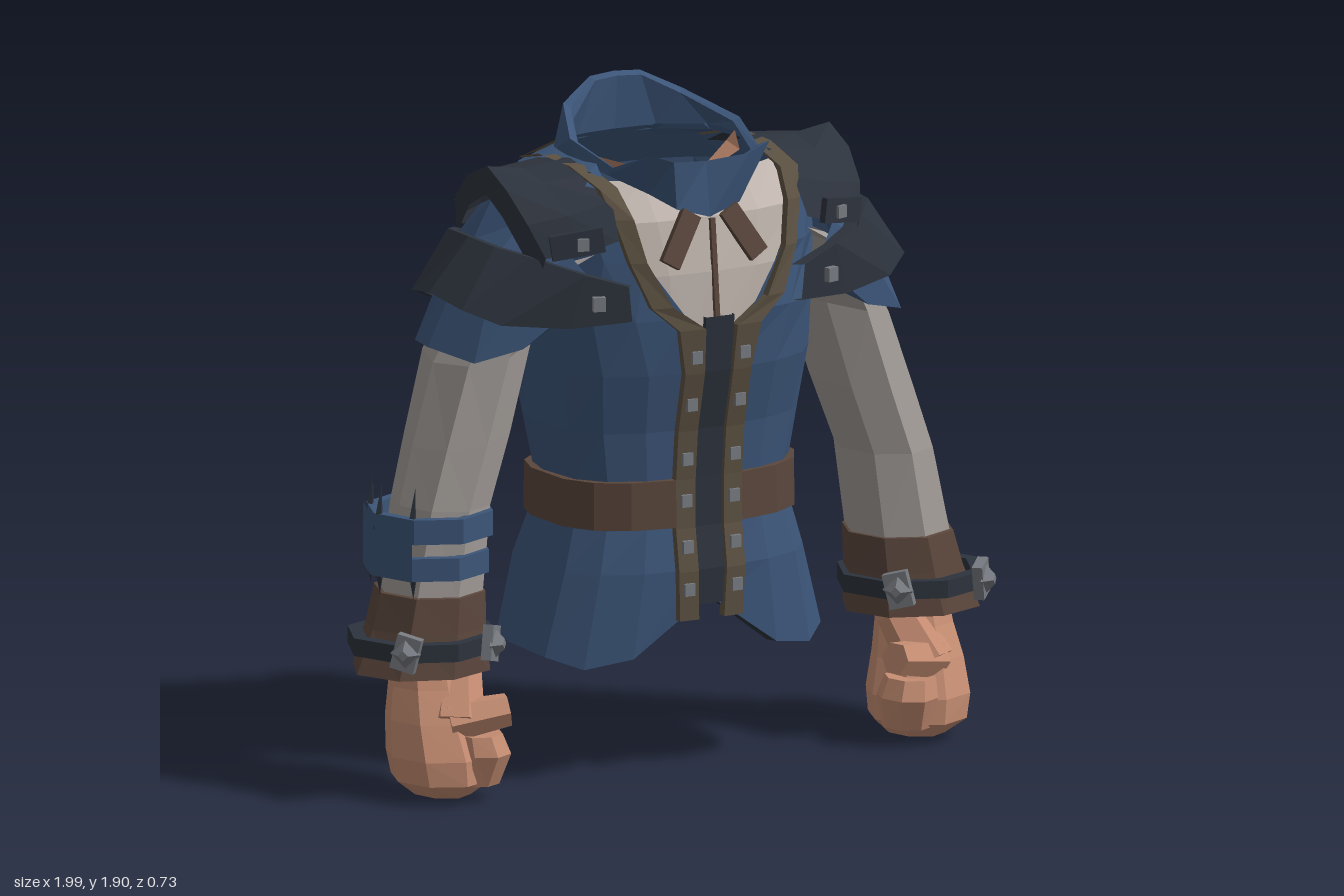
import * as THREE from 'three';

const BLUE = 0x3c5578, DARK = 0x2d333d, LEATHER = 0x5a463c, TRIM = 0x5c5142,
  LINEN = 0xa09a96, SHIRT = 0xbfb4ad, SKIN = 0xc58d72, STEEL = 0x767a80;

const mats = {};
const mat = (c) => mats[c] ??= new THREE.MeshStandardMaterial({ color: c, flatShading: true, side: THREE.DoubleSide });
function add(parent, name, geo, color, pos = [0, 0, 0], rot = [0, 0, 0]) {
  const m = new THREE.Mesh(geo, mat(color));
  m.name = name;
  m.position.set(...pos);
  m.rotation.set(...rot);
  parent.add(m);
}
const box = (w, h, d) => new THREE.BoxGeometry(w, h, d);

// Surface through rows of points
function loft(rows, closed = false) {
  const n = rows[0].length, idx = [];
  for (let r = 0; r < rows.length - 1; r++)
    for (let i = 0; i < (closed ? n : n - 1); i++) {
      const j = (i + 1) % n, a = r * n + i, b = r * n + j;
      idx.push(a, b, b + n, a, b + n, a + n);
    }
  const g = new THREE.BufferGeometry();
  g.setAttribute('position', new THREE.Float32BufferAttribute(rows.flat(2), 3));
  g.setIndex(idx);
  const flat = g.toNonIndexed();
  flat.computeVertexNormals();
  return flat;
}
// Eight-sided ring; k slopes it along x
const ring = (cx, y, cz, rx, rz, k = 0) => Array.from({ length: 8 }, (_, i) => {
  const a = i / 8 * Math.PI * 2, c = Math.cos(a);
  return [cx + rx * c, y + k * rx * c, cz + rz * Math.sin(a)];
});
const rings = (list) => loft(list.map((r) => ring(...r)), true);
// Closed strap with thickness t
const strap = (cx, y0, y1, cz, rx, rz, t) => rings([
  [cx, y0, cz, rx - t, rz - t], [cx, y0, cz, rx, rz], [cx, y1, cz, rx, rz], [cx, y1, cz, rx - t, rz - t]]);
const mirrorX = (half) => [...half.slice().reverse().map(([x, y, z]) => [-x, y, z]), ...half];
// Front half of an arch, continued over to the back
const arch = (half) => [...half, ...half.slice(0, -1).reverse().map(([x, y, z]) => [x, y, -z * 1.02])];

// Body sections: height, half width, front depth, back depth, half opening
const BODY = [
  [0.40, 0.465, 0.28, 0.275, 0.03], [0.60, 0.40, 0.29, 0.305, 0.03], [0.72, 0.365, 0.272, 0.25, 0.03],
  [0.86, 0.36, 0.272, 0.22, 0.03], [1.00, 0.385, 0.285, 0.25, 0.03], [1.17, 0.41, 0.325, 0.30, 0.03],
  [1.33, 0.42, 0.345, 0.345, 0.10], [1.50, 0.42, 0.335, 0.365, 0.22], [1.62, 0.42, 0.31, 0.34, 0.26],
  [1.70, 0.40, 0.24, 0.28, 0.28], [1.74, 0.27, 0.17, 0.25, 0.25]];
const HEM = [0.5, 0.36, 0.335, 0.365, 0.38, 0.38, 0.39, 0.4, 0.4];

function section([y, w, f, b, x0], grow = 0, ys) {
  const a0 = Math.asin(Math.pow(x0 / w, 1.25)), half = [];
  for (let i = 0; i <= 8; i++) {
    const a = a0 + (Math.PI - a0) * i / 8, c = Math.cos(a);
    const x = i === 8 ? 0 : (w + grow) * Math.pow(Math.sin(a), 0.8);
    const z = c > 0 ? (f + grow) * Math.pow(c, 0.7) : -(b + grow) * Math.pow(-c, 0.7);
    half.push([x, ys ? ys[i] : y, z]);
  }
  return [...half, ...half.slice(0, -1).reverse().map(([x, yy, z]) => [-x, yy, z])];
}
function frontZ(x, y) {
  let i = 0;
  while (i < BODY.length - 2 && BODY[i + 1][0] < y) i++;
  const t = (y - BODY[i][0]) / (BODY[i + 1][0] - BODY[i][0]);
  const w = THREE.MathUtils.lerp(BODY[i][1], BODY[i + 1][1], t), f = THREE.MathUtils.lerp(BODY[i][2], BODY[i + 1][2], t);
  return f * Math.pow(Math.max(0, 1 - Math.pow(Math.min(1, Math.abs(x) / w), 2.5)), 0.35);
}
// Raised strip on the jacket front: [inner x, outer x, y, optional z]
const strip = (rows, h) => loft(rows.map(([a, b, y, z]) => {
  const za = z ?? frontZ(a, y), zb = z ?? frontZ(b, y);
  return [[a, y, za - 0.01], [a, y, za + h], [b, y, zb + h], [b, y, zb - 0.01]];
}));

function buildTorso(g) {
  // Jacket shell and hem
  const hem = section(BODY[0], 0, HEM);
  add(g, 'jacket', loft([hem, ...BODY.slice(1).map((s) => section(s))]), BLUE);
  add(g, 'hemEdge', loft([hem, section(BODY[0], -0.03, HEM), section(BODY[0], -0.03, HEM.map((y) => y + 0.015))]), DARK);
  add(g, 'backSeam', loft(BODY.slice(5, 10).map(([y, , , b]) => [[-0.005, y, -b - 0.004], [0.005, y, -b - 0.004]])), DARK);
  add(g, 'backTrim', loft([9, 10].map((i) => section(BODY[i], 0.014).slice(5, 12))), TRIM);
  // Shirt, placket and collar ties
  add(g, 'shirt', loft([[1.28, 0.13, 0.325, 0.31], [1.45, 0.25, 0.315, 0.28], [1.6, 0.29, 0.285, 0.24], [1.7, 0.29, 0.2, 0.12]]
    .map(([y, x, z, ze]) => mirrorX([[0, y, z], [x * 0.55, y, z - 0.01], [x, y, ze]]))), SHIRT);
  add(g, 'shirtPlacket', box(0.015, 0.3, 0.012), LEATHER, [0, 1.45, 0.317], [-0.1, 0, 0]);
  for (const s of [-1, 1])
    add(g, 'collarTie', box(0.06, 0.16, 0.02), LEATHER, [s * 0.1, 1.55, 0.3], [-0.2, 0, s * 0.55]);
  // Centre panel
  add(g, 'centrePanel', strip([1.33, 1.17, 1, 0.86, 0.72, 0.6, 0.5].map((y) => [-0.045, 0.045, y]), 0.005), DARK);
  // Collar and neck
  const top = [[0, 1.755, 0.27], [0.12, 1.77, 0.3], [0.19, 1.795, 0.29], [0.235, 1.74, 0.16], [0.27, 1.79, -0.02], [0.19, 1.845, -0.2], [0.08, 1.9, -0.245], [0, 1.905, -0.25]];
  const low = [[0, 1.6, 0.29], [0.1, 1.63, 0.28], [0.16, 1.67, 0.23], [0.24, 1.715, 0.14], [0.265, 1.735, 0], [0.25, 1.73, -0.15], [0.13, 1.725, -0.25], [0, 1.725, -0.265]];
  const inner = top.map(([x, y, z]) => [x * 0.92, y - 0.01, z * 0.92]);
  const innerLow = low.map(([x, y, z]) => [x * 0.94, y + 0.02, z * 0.92]);
  add(g, 'collar', loft([mirrorX(low), mirrorX(top), mirrorX(inner), mirrorX(innerLow)]), BLUE);
  add(g, 'neck', loft([mirrorX([[0, 1.68, 0.19], [0.18, 1.74, 0.14], [0.255, 1.755, -0.02]]),
    mirrorX([[0, 1.6, 0.1], [0.12, 1.67, 0.03], [0.245, 1.72, -0.05]])]), SKIN);
  // Belt
  const belt = (y, grow) => section([y, 0.362, 0.273, 0.238, 0.1], grow);
  add(g, 'belt', loft([belt(0.725, -0.01), belt(0.725, 0.018), belt(0.86, 0.016), belt(0.86, -0.01)]), LEATHER);
  // Belt pouches
  for (const [x, z, a] of [[0.3, -0.175, 2.1], [0.155, -0.25, 2.6]]) {
    const p = new THREE.Group();
    p.name = 'pouch';
    p.position.set(x, 0.785, z);
    p.rotation.y = a;
    const outline = new THREE.Shape([[-0.07, -0.13], [0.04, -0.13], [0.065, -0.09], [0.06, 0.09], [0.03, 0.125], [-0.07, 0.125]]
      .map((c) => new THREE.Vector2(...c)));
    add(p, 'pouchBody', new THREE.ExtrudeGeometry(outline, { depth: 0.18, bevelEnabled: false }), LEATHER, [0.09, 0, 0], [0, -Math.PI / 2, 0]);
    add(p, 'pouchFlap', box(0.15, 0.11, 0.02), DARK, [0, 0.055, 0.063]);
    add(p, 'pouchLid', box(0.15, 0.02, 0.07), DARK, [0, 0.122, 0.015], [0.35, 0, 0]);
    add(p, 'pouchStud', box(0.035, 0.035, 0.02), STEEL, [0, 0.025, 0.072]);
    g.add(p);
  }
}

function buildSide() {
  const g = new THREE.Group();
  // Front trim and buttons
  add(g, 'frontTrim', strip([[0.04, 0.1, 0.46], [0.045, 0.105, 0.6], [0.045, 0.105, 0.72], [0.045, 0.105, 0.86], [0.045, 0.105, 1],
    [0.045, 0.105, 1.17], [0.05, 0.13, 1.3], [0.15, 0.21, 1.37], [0.22, 0.265, 1.5], [0.245, 0.295, 1.62],
    [0.26, 0.315, 1.7, 0.21], [0.265, 0.32, 1.735, 0.05], [0.265, 0.32, 1.735, -0.1], [0.26, 0.31, 1.7, -0.23]], 0.018), TRIM);
  for (const y of [0.55, 0.67, 0.8, 0.92, 1.08, 1.22])
    add(g, 'button', box(0.032, 0.035, 0.016), STEEL, [0.076, y, frontZ(0.076, y) + 0.02]);

  // Sleeve
  add(g, 'sleeve', rings([[0.34, 1.52, 0, 0.13, 0.24, -0.4], [0.46, 1.45, 0, 0.135, 0.2, -0.4], [0.57, 1.24, -0.015, 0.14, 0.185, -0.25],
    [0.645, 1, 0.005, 0.142, 0.172, -0.15], [0.705, 0.82, 0.02, 0.132, 0.162], [0.745, 0.57, 0.03, 0.147, 0.16]]), LINEN);
  // Shoulder
  add(g, 'upperSleeve', loft([arch([[0.34, 1.42, 0.29], [0.42, 1.53, 0.24], [0.5, 1.61, 0.12], [0.53, 1.655, 0]]),
    arch([[0.45, 1.35, 0.24], [0.53, 1.45, 0.21], [0.575, 1.53, 0.12], [0.59, 1.545, 0]]),
    arch([[0.44, 1.33, 0.21], [0.55, 1.27, 0.21], [0.68, 1.235, 0.165], [0.735, 1.255, 0]]),
    arch([[0.44, 1.34, 0.19], [0.55, 1.28, 0.19], [0.66, 1.25, 0.14], [0.71, 1.265, 0]])]), BLUE);
  const capIn = [[0.3, 1.57, 0.31], [0.29, 1.67, 0.25], [0.28, 1.725, 0.12], [0.28, 1.74, 0]];
  const capMid = [[0.4, 1.54, 0.29], [0.42, 1.64, 0.235], [0.43, 1.71, 0.12], [0.43, 1.73, 0]];
  const capOut = [[0.5, 1.53, 0.25], [0.53, 1.62, 0.2], [0.545, 1.7, 0.11], [0.545, 1.748, 0]];
  add(g, 'shoulderCap', loft([arch(capIn), arch(capMid), arch(capOut),
    arch(capOut.map(([x, y, z]) => [x + 0.003, y - 0.08, z * 0.85]))]), DARK);
  const hi = [[0.28, 1.44, 0.33], [0.4, 1.48, 0.3], [0.53, 1.53, 0.21], [0.595, 1.55, 0.13], [0.605, 1.555, 0]];
  const lo = [[0.27, 1.34, 0.33], [0.44, 1.33, 0.285], [0.62, 1.345, 0.21], [0.705, 1.385, 0.14], [0.73, 1.41, 0]];
  const inset = (pts) => arch(pts.map(([x, y, z]) => [x - 0.025, y - 0.005, z * 0.9]));
  add(g, 'shoulderBand', loft([inset(hi), arch(hi), arch(lo), inset(lo)]), DARK);
  for (const s of [-1, 1]) {
    add(g, 'shoulderStrap', box(0.15, 0.07, 0.02), DARK, [0.42, 1.57, s * 0.285], [0, s * 0.35, -0.15]);
    add(g, 'shoulderStud', box(0.032, 0.035, 0.02), STEEL, [0.41, 1.57, s * 0.3], [0, s * 0.3, 0]);
    add(g, 'bandStud', box(0.035, 0.04, 0.02), STEEL, [0.37, 1.4, s * 0.32], [0, s * 0.3, 0]);
  }

  // Cuff with strap and pointed plates
  add(g, 'cuff', rings([[0.745, 0.585, 0.03, 0.13, 0.14], [0.745, 0.58, 0.03, 0.155, 0.17], [0.76, 0.48, 0.035, 0.17, 0.178],
    [0.78, 0.36, 0.045, 0.205, 0.185], [0.78, 0.37, 0.045, 0.1, 0.11]]), LEATHER);
  add(g, 'cuffStrap', strap(0.78, 0.415, 0.465, 0.045, 0.215, 0.208, 0.04), DARK);
  for (const [x, z, a] of [[0.915, 0.2, 0.8], [0.65, 0.205, -0.75]]) {
    const plate = new THREE.Group();
    plate.name = 'cuffPlate';
    plate.position.set(x, 0.445, z);
    plate.rotation.y = a;
    add(plate, 'plateBase', box(0.07, 0.1, 0.03), STEEL, [0, 0, 0], [0, 0, 0.25]);
    add(plate, 'platePoint', new THREE.CylinderGeometry(0.015, 0.045, 0.03, 4), STEEL, [0, 0, 0.025], [Math.PI / 2, 0, 0]);
    g.add(plate);
  }
  // Fist
  add(g, 'hand', rings([[0.775, 0.4, 0.06, 0.1, 0.1], [0.775, 0.32, 0.07, 0.11, 0.118], [0.775, 0.23, 0.09, 0.128, 0.14],
    [0.765, 0.13, 0.11, 0.145, 0.16], [0.76, 0.06, 0.115, 0.135, 0.155], [0.755, 0.015, 0.105, 0.08, 0.105], [0.755, 0.003, 0.1, 0, 0]]), SKIN);
  const finger = (r, len) => new THREE.CylinderGeometry(r * 0.8, r, len, 6);
  add(g, 'thumb', finger(0.06, 0.17), SKIN, [0.695, 0.245, 0.215], [0, 0.35, 1.4]);
  add(g, 'thumbBase', finger(0.08, 0.17), SKIN, [0.725, 0.29, 0.15], [-0.5, 0, 0.3]);
  add(g, 'fingers', rings([[0.69, 0.19, 0.2, 0, 0], [0.69, 0.195, 0.2, 0.07, 0.08], [0.68, 0.14, 0.2, 0.082, 0.1], [0.69, 0.05, 0.18, 0.07, 0.08], [0.69, 0.035, 0.17, 0, 0]]), SKIN);
  return g;
}

export function createModel() {
  const model = new THREE.Group();
  model.name = 'jacket';
  buildTorso(model);
  const left = buildSide(), right = left.clone();
  left.name = 'leftSide';
  right.name = 'rightSide';
  right.scale.x = -1;
  model.add(left, right);

  // Forearm wrap on the right arm only
  const wrap = new THREE.Group();
  wrap.name = 'forearmWrap';
  add(wrap, 'wrapUpper', strap(-0.745, 0.74, 0.81, 0.03, 0.178, 0.19, 0.03), BLUE);
  add(wrap, 'wrapLower', strap(-0.755, 0.635, 0.7, 0.03, 0.175, 0.185, 0.03), BLUE);
  add(wrap, 'wrapPanel', loft([0.635, 0.81].map((y) => ring(-0.75, y, 0.03, 0.183, 0.195).slice(3, 6))), BLUE);
  for (const [x, z] of [[-0.86, 0.14], [-0.91, 0.04], [-0.87, -0.08]]) {
    add(wrap, 'wrapSpike', new THREE.ConeGeometry(0.016, 0.13, 4), DARK, [x, 0.83, z], [0, 0, -0.1]);
    add(wrap, 'wrapPin', new THREE.ConeGeometry(0.016, 0.08, 4), DARK, [x, 0.62, z], [Math.PI, 0, 0]);
  }
  model.add(wrap);
  return model;
}
